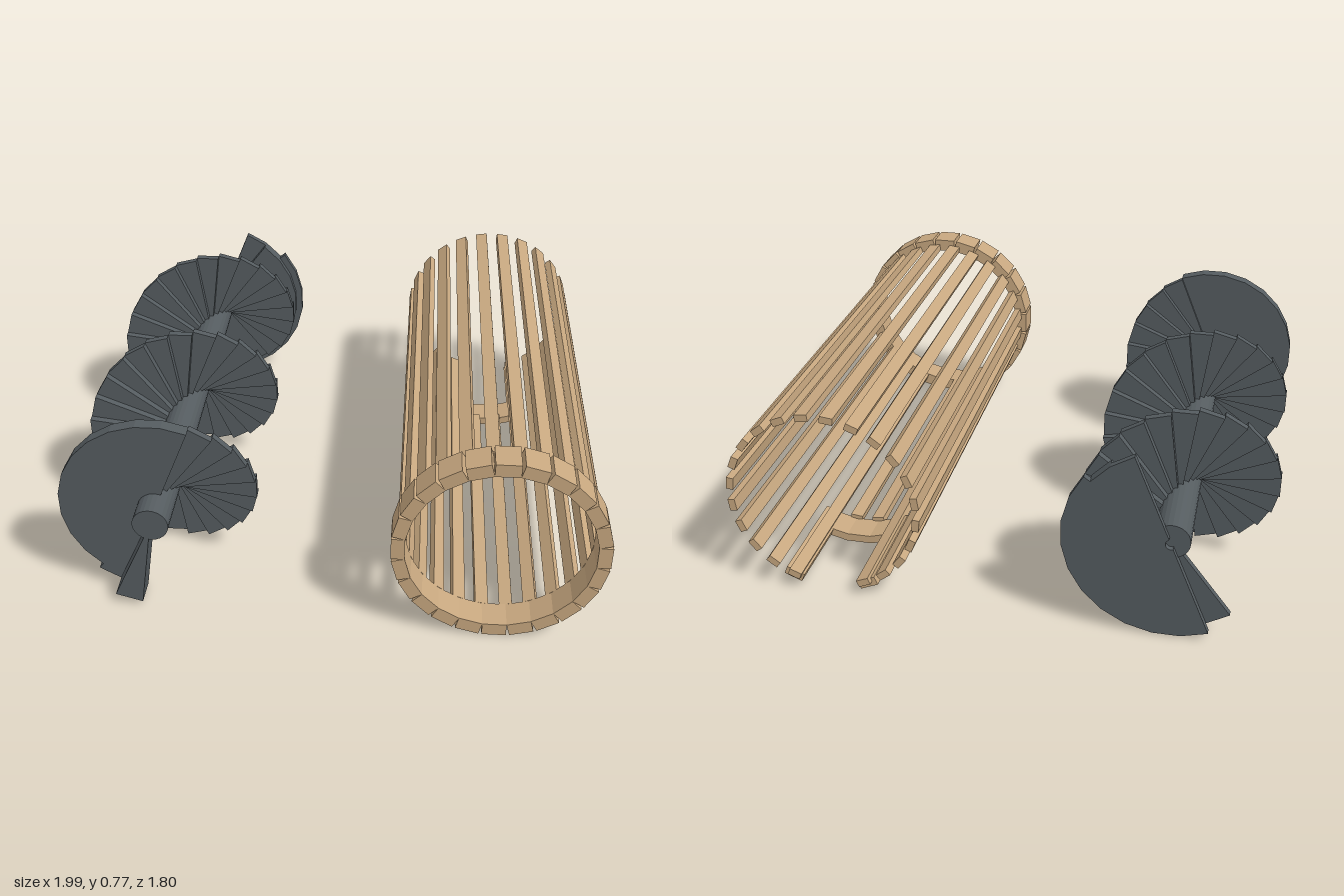
import * as THREE from 'three';

const steel = new THREE.MeshStandardMaterial({ color: 0x555c60, flatShading: true });
const wood = new THREE.MeshStandardMaterial({ color: 0xc8a880, flatShading: true });
const rad = THREE.MathUtils.degToRad;

function add(parent, name, geometry, material) {
  const mesh = new THREE.Mesh(geometry, material);
  mesh.name = name;
  parent.add(mesh);
  return mesh;
}

// Flat ring sector between two angles (degrees), from z0 to z1
function sector(inner, outer, a0, a1, z0, z1) {
  const n = Math.max(1, Math.round((a1 - a0) / 15));
  const ring = (r, i) => {
    const a = rad(a0 + ((a1 - a0) * i) / n);
    return new THREE.Vector2(r * Math.cos(a), r * Math.sin(a));
  };
  const points = [];
  for (let i = 0; i <= n; i++) points.push(ring(outer, i));
  for (let i = n; i >= 0; i--) points.push(ring(inner, i));
  const g = new THREE.ExtrudeGeometry(new THREE.Shape(points), { depth: z1 - z0, bevelEnabled: false });
  return g.translate(0, 0, z0);
}

function createScrew() {
  const screw = new THREE.Group();
  screw.name = 'augerScrew';
  screw.position.set(-0.643, 0.39, 0);

  // Shaft in three lengths
  for (const [z0, z1] of [[0.475, 0.83], [-0.2, 0.45], [-0.88, -0.225]]) {
    const g = new THREE.CylinderGeometry(0.066, 0.066, z1 - z0, 24);
    g.rotateX(Math.PI / 2).translate(0, 0, (z0 + z1) / 2);
    add(screw, 'shaft', g, steel);
  }

  // Stepped helical flight, 24 blades per turn
  const pitch = 0.665 / 24;
  for (let k = -27; k <= 28; k++) {
    const z = -0.095 + k * pitch;
    add(screw, 'flightBlade', sector(0.058, 0.357, k * 15 - 7.5, k * 15 + 7.5, z - 0.014, z + 0.014), steel);
  }

  // End plates and handle
  add(screw, 'frontPlate', sector(0.04, 0.36, 67.5, 247.5, 0.68, 0.73), steel);
  add(screw, 'frontPlateTip', sector(0.05, 0.385, -128.5, -112.5, 0.68, 0.73), steel);
  add(screw, 'handle', sector(0.05, 0.375, -115, -99, 0.73, 0.83), steel);
  add(screw, 'backPlateInner', sector(0.04, 0.357, -127.5, 52.5, -0.875, -0.85), steel);
  add(screw, 'backPlateOuter', sector(0.02, 0.357, -112.5, 67.5, -0.9, -0.875), steel);
  add(screw, 'backPlateRim', sector(0.35, 0.385, -112.5, 37.5, -0.9, -0.875), steel);
  return screw;
}

function createCage() {
  const cage = new THREE.Group();
  cage.name = 'slattedDrum';
  cage.position.set(0.61, 0.39, 0);

  // Board set tangentially around the drum axis
  function board(name, angle, radius, width, thickness, z0, z1) {
    const mesh = add(cage, name, new THREE.BoxGeometry(thickness, width, z1 - z0), wood);
    const a = rad(angle);
    mesh.position.set(radius * Math.cos(a), radius * Math.sin(a), (z0 + z1) / 2);
    mesh.rotation.z = a;
  }

  for (let i = 0; i < 24; i++) {
    const a = i * 15;
    board('ringBlock', a, 0.36, 0.089, 0.05, 0.79, 0.9);
    // The two lowest slats stop at the outlet
    const slat = a + 7.5;
    const back = Math.abs(slat - 270) < 10 ? -0.46 : -0.9;
    board('slat', slat, 0.3495, 0.048, 0.027, back, 0.79);
  }

  // Outlet frame underneath
  for (const side of [-1, 1]) {
    board('outletSide', 270 + side * 23, 0.366, 0.072, 0.034, -0.88, -0.455);
    board('outletCrossbar', 270 + side * 15, 0.366, 0.1, 0.032, -0.57, -0.455);
  }
  board('outletCrossbar', 270, 0.366, 0.1, 0.032, -0.57, -0.455);
  return cage;
}

export function createModel() {
  const model = new THREE.Group();
  model.name = 'screwAndDrum';
  model.add(createScrew(), createCage());
  return model;
}
